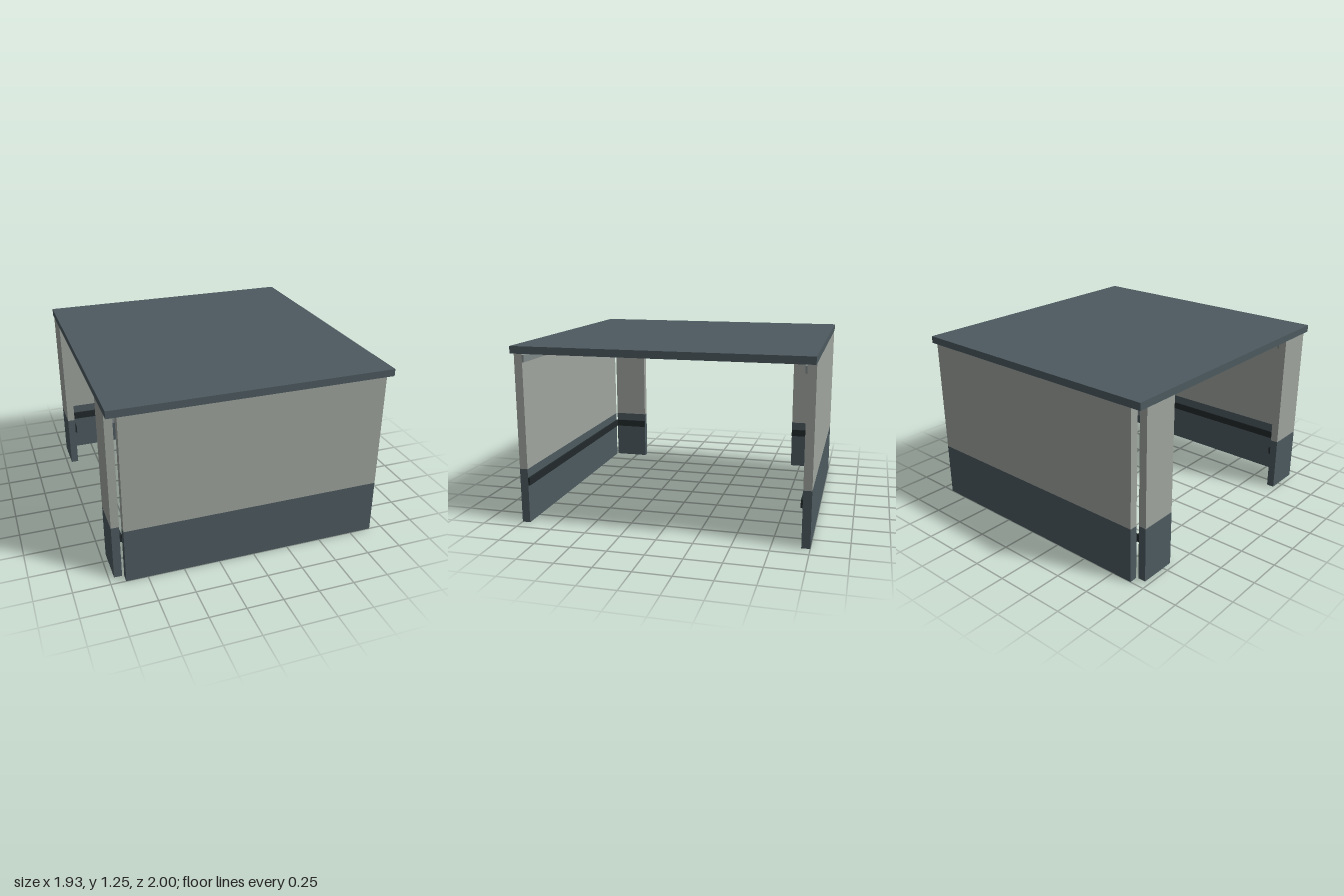
import * as THREE from 'three';

const mat = (name, color) => {
  const m = new THREE.MeshStandardMaterial({ color });
  m.name = name;
  return m;
};

export function createModel() {
  const slate = mat('slate', 0x4d5a60);
  const plaster = mat('plaster', 0xa0a59f);
  const metal = mat('greyMetal', 0x7f8787);
  const rubber = mat('darkRubber', 0x222a2c);

  const model = new THREE.Group();
  model.name = 'shelter';

  // box given by its lower and upper corners
  const box = (name, material, [x0, y0, z0], [x1, y1, z1], parent) => {
    const mesh = new THREE.Mesh(new THREE.BoxGeometry(x1 - x0, y1 - y0, z1 - z0), material);
    mesh.position.set((x0 + x1) / 2, (y0 + y1) / 2, (z0 + z1) / 2);
    mesh.name = name;
    parent.add(mesh);
  };

  const H = 1.195, BAND = 0.387;

  // wall in two colours: slate below, plaster above
  const wall = (name, [x0, x1], [z0, z1], parent) => {
    box(name + 'Base', slate, [x0, 0, z0], [x1, BAND, z1], parent);
    box(name + 'Upper', plaster, [x0, BAND, z0], [x1, H, z1], parent);
  };

  // bumper rail and top trim on the inner face of a wall
  const rails = (name, [x0, x1], [z0, z1], parent) => {
    box(name + 'BumperRail', rubber, [x0, 0.27, z0], [x1, 0.325, z1], parent);
    box(name + 'TopTrim', metal, [x0, 1.13, z0], [x1, 1.178, z1], parent);
  };

  // roof slab
  box('roof', slate, [-0.965, H, -1], [0.965, 1.245, 1], model);

  // long side walls and short return walls, front and back
  for (const s of [1, -1]) {
    const side = new THREE.Group();
    side.name = s > 0 ? 'frontSide' : 'backSide';
    const span = (a, b) => (s > 0 ? [a, b] : [-b, -a]);
    wall('longWall', [-0.898, 0.908], span(0.943, 1), side);
    rails('longWall', [-0.898, 0.908], span(0.93, 0.943), side);
    wall('returnWall', [-0.965, -0.911], span(0.673, 0.936), side);
    rails('returnWall', [-0.911, -0.898], span(0.673, 0.936), side);
    model.add(side);
  }

  // ceiling lamp hung on two stems
  const lamp = new THREE.Group();
  lamp.name = 'ceilingLamp';
  box('lampHousing', metal, [-0.28, 1.145, -0.056], [0.28, 1.172, 0.056], lamp);
  box('lampLens', metal, [-0.25, 1.13, -0.04], [0.25, 1.145, 0.04], lamp);
  for (const x of [-0.18, 0.18]) {
    box('lampStem', metal, [x - 0.014, 1.172, -0.014], [x + 0.014, H, 0.014], lamp);
  }
  model.add(lamp);

  return model;
}
